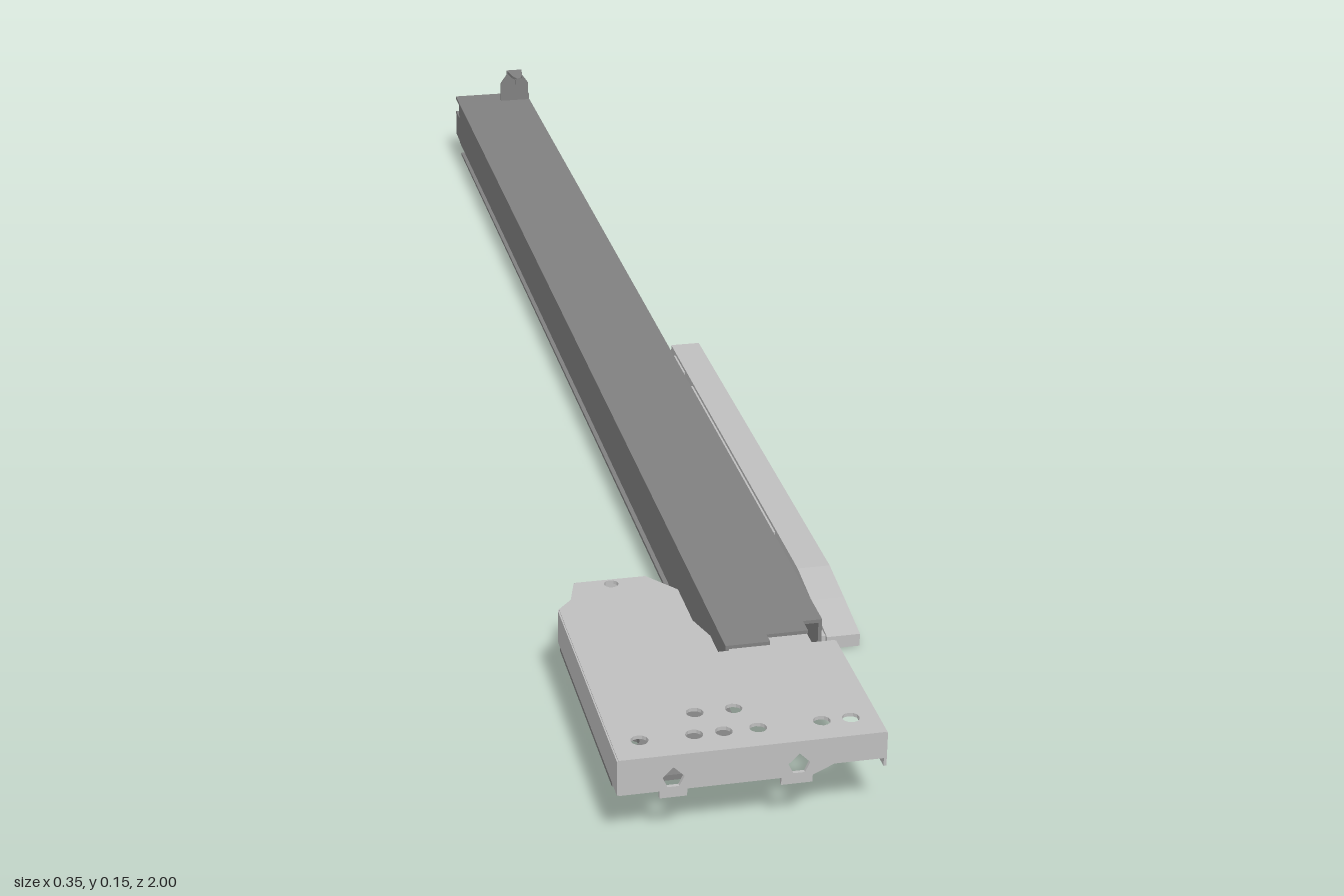
import * as THREE from 'three';

const lightSteel = new THREE.MeshStandardMaterial({ color: 0xbfbfbf, side: THREE.DoubleSide });
lightSteel.name = 'light steel';
const darkSteel = new THREE.MeshStandardMaterial({ color: 0x808080, side: THREE.DoubleSide });
darkSteel.name = 'dark steel';

function toShape(points, holes = []) {
  const shape = new THREE.Shape(points.map(([x, y]) => new THREE.Vector2(x, y)));
  for (const hole of holes) shape.holes.push(hole);
  return shape;
}

function roundHole(x, y, r) {
  const path = new THREE.Path();
  path.absarc(x, y, r, 0, Math.PI * 2, true);
  return path;
}

const extrude = (shape, depth) =>
  new THREE.ExtrudeGeometry(shape, { depth, bevelEnabled: false, curveSegments: 6 });

export function createModel() {
  const root = new THREE.Group();
  root.name = 'drawerRunner';

  const add = (name, geometry, material, parent = root) => {
    const mesh = new THREE.Mesh(geometry, material);
    mesh.name = name;
    parent.add(mesh);
    return mesh;
  };
  const group = (name) => {
    const g = new THREE.Group();
    g.name = name;
    root.add(g);
    return g;
  };
  // Box given by its low and high corners
  const box = (name, x0, x1, y0, y1, z0, z1, material, parent) => {
    const mesh = add(name, new THREE.BoxGeometry(x1 - x0, y1 - y0, z1 - z0), material, parent);
    mesh.position.set((x0 + x1) / 2, (y0 + y1) / 2, (z0 + z1) / 2);
    return mesh;
  };
  // Upright outline in x,y drawn out along z
  const alongZ = (name, shape, z0, z1, material, parent) => {
    const mesh = add(name, extrude(shape, z1 - z0), material, parent);
    mesh.position.z = z0;
    return mesh;
  };
  // Flat outline in x,z drawn out upwards
  const flat = (name, points, y0, y1, material, parent, holes = []) => {
    const shape = toShape(points.map(([x, z]) => [x, -z]), holes.map(([x, z, r]) => roundHole(x, -z, r)));
    const mesh = add(name, extrude(shape, y1 - y0), material, parent);
    mesh.rotation.x = -Math.PI / 2;
    mesh.position.y = y0;
    return mesh;
  };

  // Outer rail: folded channel with lips turned inwards
  const outer = group('outerRail');
  flat('railTop', [[-0.018, -1], [0.096, -1], [0.096, 0.77], [0.075, 0.77], [0.075, 0.79], [0.03, 0.79],
    [0.03, 0.805], [-0.018, 0.805]], 0.096, 0.1, darkSteel, outer);
  box('leftWall', -0.018, -0.014, 0.034, 0.098, -0.968, 0.805, darkSteel, outer);
  box('leftLip', -0.018, -0.002, 0.033, 0.037, -0.968, 0.77, darkSteel, outer);
  box('rightWall', 0.092, 0.096, 0.034, 0.098, -0.968, 0.77, darkSteel, outer);
  box('rightLip', 0.082, 0.096, 0.033, 0.037, -0.968, 0.77, darkSteel, outer);
  for (const x of [-0.018, 0.092]) box('rearTab', x, x + 0.004, 0.036, 0.075, -1, -0.968, darkSteel, outer);

  // Middle channel
  const middle = group('middleRail');
  alongZ('middleChannel', toShape([[-0.006, 0.045], [-0.003, 0.045], [-0.003, 0.087], [0.083, 0.087],
    [0.083, 0.04], [0.086, 0.043], [0.086, 0.09], [-0.006, 0.09]]), -0.95, 0.74, darkSteel, middle);

  // Inner fixed rail with flanged feet
  const inner = group('innerRail');
  box('innerTop', 0.005, 0.075, 0.072, 0.076, -0.965, 0.74, darkSteel, inner);
  box('innerLeftWall', 0.005, 0.009, 0.013, 0.074, -0.965, 0.77, darkSteel, inner);
  box('innerLeftFoot', -0.016, 0.009, 0.012, 0.016, -0.965, 0.77, darkSteel, inner);
  box('innerRightWall', 0.071, 0.075, 0.013, 0.074, -0.965, 0.74, darkSteel, inner);
  box('innerRightFoot', 0.043, 0.075, 0.012, 0.016, -0.965, 0.74, darkSteel, inner);
  box('footStop', 0.057, 0.062, 0.014, 0.032, 0.66, 0.74, darkSteel, inner);

  // Rear hook: upright plate with a tongue bent forwards
  const hook = group('rearHook');
  alongZ('hookPlate', toShape([[0.05, 0.036], [0.094, 0.036], [0.094, 0.128], [0.084, 0.142], [0.084, 0.149],
    [0.06, 0.149], [0.06, 0.142], [0.05, 0.128]]), -0.969, -0.964, darkSteel, hook);
  flat('hookTongue', [[0.06, -0.968], [0.084, -0.968], [0.08, -0.94], [0.075, -0.926], [0.069, -0.926],
    [0.064, -0.94]], 0.145, 0.149, darkSteel, hook);
  box('hookTip', 0.067, 0.077, 0.138, 0.147, -0.93, -0.926, darkSteel, hook);
  box('hookSideTab', 0.085, 0.096, 0.085, 0.108, -0.998, -0.966, darkSteel, hook);

  // Front bracket: pierced top sheet with a folded skirt
  const bracket = group('frontBracket');
  const outline = [[-0.173, 1], [0.097, 1], [0.097, 0.815], [-0.03, 0.815], [-0.04, 0.79], [-0.04, 0.675],
    [-0.067, 0.64], [-0.145, 0.64], [-0.155, 0.675], [-0.173, 0.695]];
  const holes = [-0.145, -0.09, -0.06, -0.025, 0.04, 0.07].map((x) => [x, 0.967, 0.009]);
  holes.push([-0.08, 0.927, 0.009], [-0.04, 0.927, 0.009], [-0.107, 0.65, 0.008]);
  flat('bracketTop', outline, 0.096, 0.1, lightSteel, bracket, holes);
  const skirt = [[0.097, 1], [0.097, 0.815], null, [-0.04, 0.79], [-0.04, 0.675], [-0.067, 0.64],
    [-0.145, 0.64], [-0.155, 0.675], [-0.173, 0.695], [-0.173, 1]];
  for (let i = 0; i + 1 < skirt.length; i++) {
    const a = skirt[i], b = skirt[i + 1];
    if (!a || !b) continue;
    const dx = b[0] - a[0], dz = b[1] - a[1];
    const wall = add('bracketSkirt', new THREE.BoxGeometry(0.003, 0.038, Math.hypot(dx, dz)), lightSteel, bracket);
    wall.position.set((a[0] + b[0]) / 2, 0.08, (a[1] + b[1]) / 2);
    wall.rotation.y = Math.atan2(dx, dz);
  }

  // Front face with two drop-shaped openings and lower tabs
  const dropHole = (x) => {
    const path = new THREE.Path();
    path.moveTo(x, 0.086);
    path.lineTo(x + 0.011, 0.075);
    path.lineTo(x + 0.006, 0.064);
    path.lineTo(x - 0.006, 0.064);
    path.lineTo(x - 0.011, 0.075);
    path.closePath();
    return path;
  };
  const face = [[-0.173, 0.06], [-0.132, 0.06], [-0.132, 0.052], [-0.104, 0.052], [-0.104, 0.06], [-0.009, 0.06],
    [-0.009, 0.052], [0.023, 0.052], [0.023, 0.06], [0.045, 0.07], [0.097, 0.07], [0.097, 0.1], [-0.173, 0.1]];
  alongZ('bracketFace', toShape(face, [dropHole(-0.118), dropHole(0.009)]), 0.996, 1, lightSteel, bracket);
  for (const x of [-0.118, 0.009]) {
    box('screwBacking', x - 0.012, x + 0.012, 0.071, 0.088, 0.96, 0.968, darkSteel, bracket);
  }
  alongZ('railGuide', toShape([[0.04, 0.072], [0.053, 0.064], [0.072, 0.061], [0.086, 0.068], [0.086, 0.072]]),
    0.77, 0.83, lightSteel, bracket);
  box('bracketBridge', -0.015, 0.075, 0.09, 0.094, 0.76, 0.85, lightSteel, bracket);

  // Plate closing the underside of the bracket
  flat('underPlate', [[-0.173, 0.97], [-0.026, 0.97], [-0.026, 0.77], [-0.045, 0.68], [-0.07, 0.645],
    [-0.142, 0.645], [-0.173, 0.7]], 0.052, 0.058, darkSteel, bracket, [[-0.1, 0.9, 0.012], [-0.14, 0.9, 0.01]]);

  // Release lever and its pivot
  const lever = group('releaseLever');
  alongZ('leverHandle', toShape([[-0.135, 0.052], [-0.12, 0.038], [-0.118, 0.027], [-0.124, 0.016], [-0.122, 0.012],
    [-0.116, 0.012], [-0.112, 0.022], [-0.108, 0.036], [-0.095, 0.042], [-0.078, 0.052]]), 0.73, 0.765, lightSteel, lever);
  const pivot = add('leverPivot', new THREE.CylinderGeometry(0.024, 0.024, 0.01, 20), darkSteel, lever);
  pivot.position.set(-0.1, 0.048, 0.8);
  flat('leverArm', [[-0.06, 0.72], [-0.03, 0.7], [-0.018, 0.74], [-0.018, 0.8], [-0.06, 0.81]],
    0.07, 0.076, lightSteel, lever);

  // Side strip with sloping nose, mounting plate and stop
  const side = group('sideStrip');
  const strip = add('stripBar', extrude(toShape([[-0.665, 0], [0.105, 0], [0.105, 0.035], [-0.54, 0.035],
    [-0.6, 0.026], [-0.665, 0.015]]), 0.038), lightSteel, side);
  strip.rotation.y = Math.PI / 2;
  strip.position.x = 0.134;
  box('stripNose', 0.126, 0.134, 0, 0.014, 0.6, 0.66, lightSteel, side);
  flat('stripPlate', [[0.083, -0.08], [0.135, -0.08], [0.135, -0.025], [0.126, -0.025], [0.126, 0.02], [0.135, 0.02],
    [0.135, 0.44], [0.083, 0.44]], 0, 0.031, lightSteel, side);
  box('stripStop', 0.1, 0.124, 0.03, 0.042, 0.27, 0.29, darkSteel, side);
  box('stopArm', 0.1, 0.106, 0.03, 0.04, 0.25, 0.32, darkSteel, side);

  return root;
}
